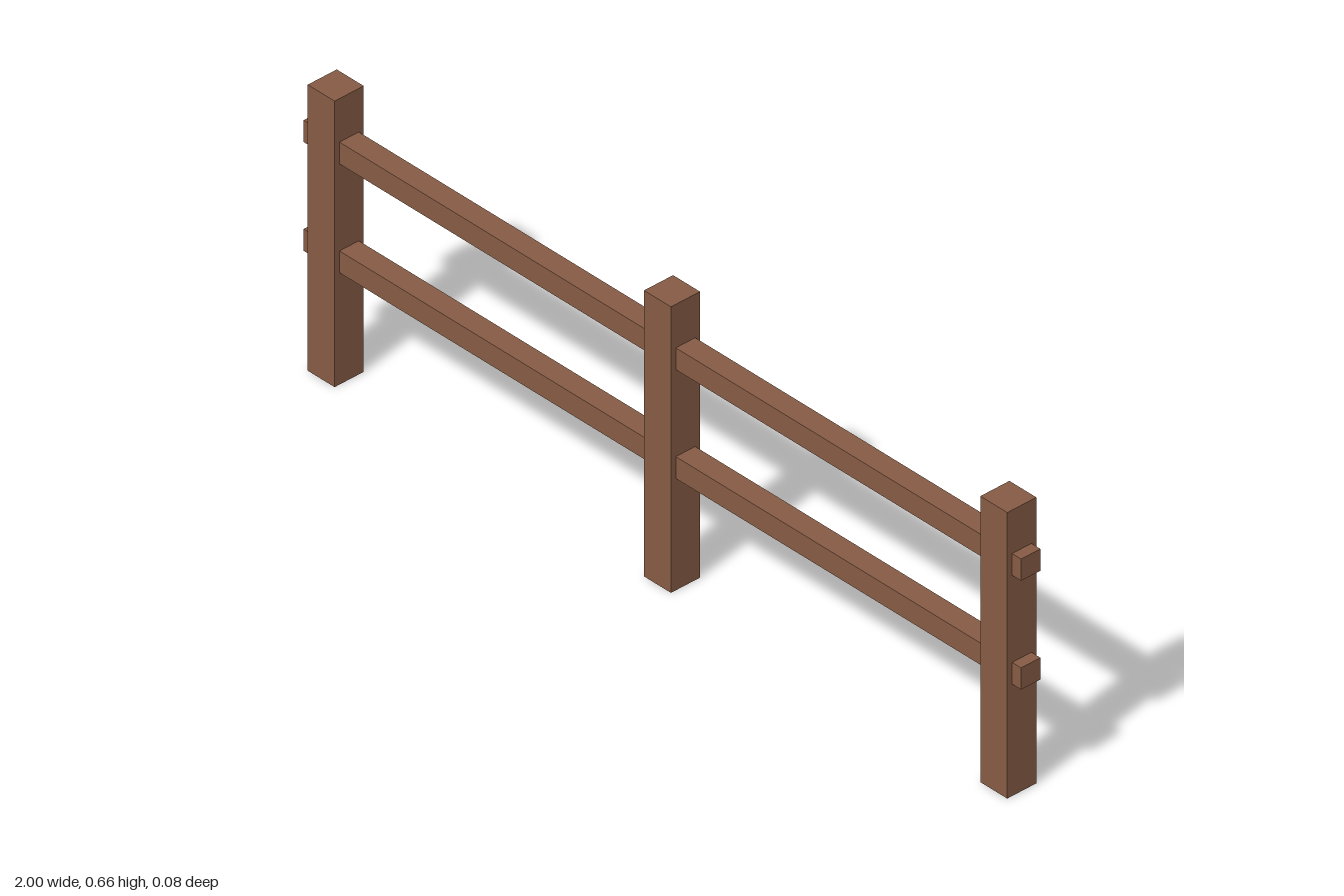
import * as THREE from 'three';

export function createModel() {
  const fence = new THREE.Group();
  fence.name = 'fence';

  const wood = new THREE.MeshStandardMaterial({ color: 0x855b44 });
  wood.name = 'brown wood';

  const addBeam = (name, size, position) => {
    const beam = new THREE.Mesh(new THREE.BoxGeometry(...size), wood);
    beam.name = name;
    beam.position.set(...position);
    fence.add(beam);
  };

  // Three square upright posts
  const postHeight = 0.657;
  const posts = { rightPost: -0.9375, middlePost: 0, leftPost: 0.9375 };
  for (const [name, x] of Object.entries(posts)) {
    addBeam(name, [0.075, postHeight, 0.075], [x, postHeight / 2, 0]);
  }

  // Two rails running through the posts, with short ends sticking out
  const rails = { lowerRail: 0.282, upperRail: 0.532 };
  for (const [name, y] of Object.entries(rails)) {
    addBeam(name, [2, 0.05, 0.05], [0, y, 0]);
  }

  return fence;
}
